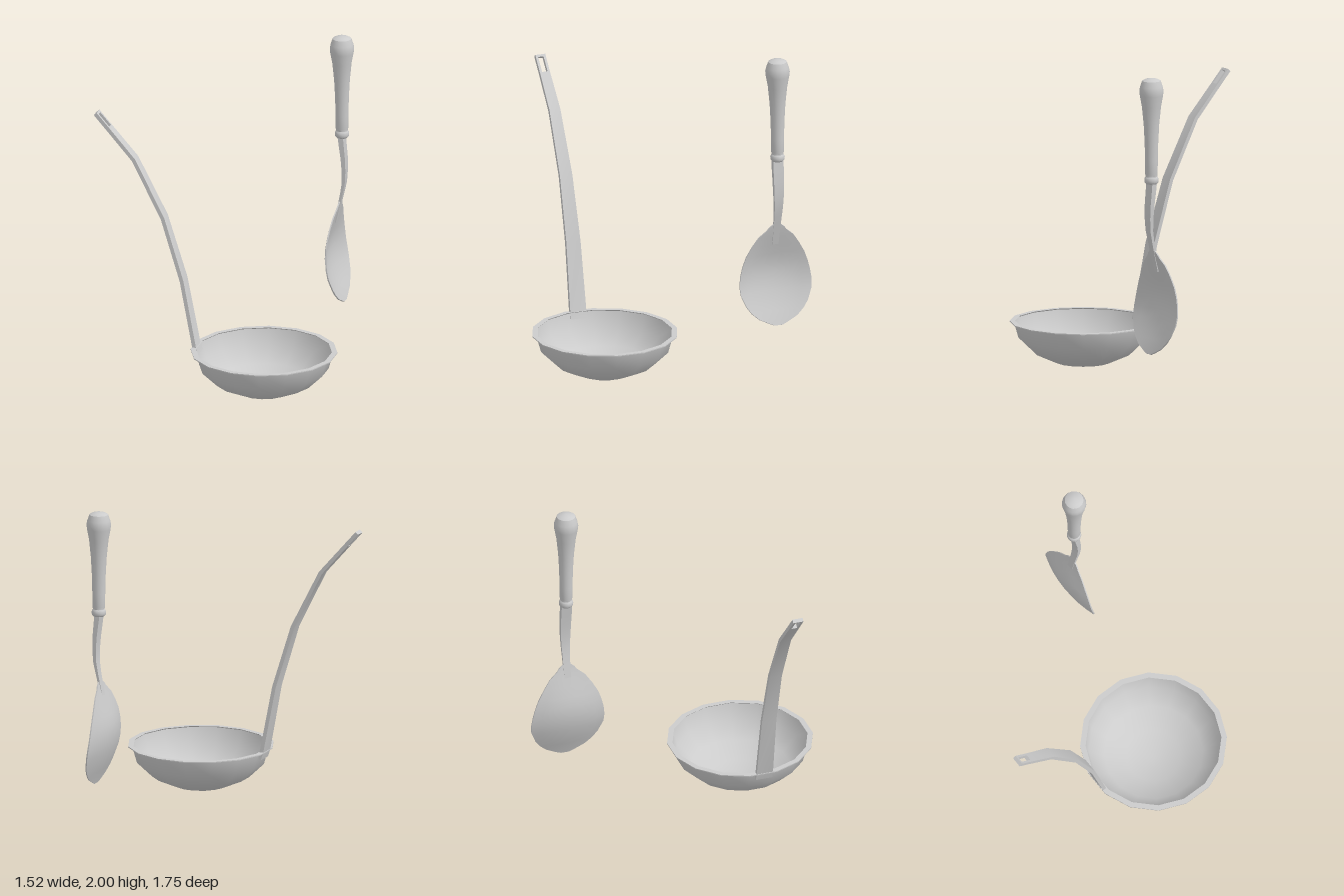
import * as THREE from 'three';
import { toCreasedNormals } from 'three/addons/utils/BufferGeometryUtils.js';

const material = new THREE.MeshStandardMaterial({ color: 0xcccccc, side: THREE.DoubleSide });

function addMesh(parent, name, geometry, crease = 0.65) {
  const mesh = new THREE.Mesh(toCreasedNormals(geometry, crease), material);
  mesh.name = name;
  parent.add(mesh);
  return mesh;
}

// Flat bar lofted along rows [x, y, halfWidth, halfThickness, edgeOffset];
// edgeOffset pushes the long edges along the bar's normal to dish it.
function barGeometry(rows, z0, cols = 2) {
  const pos = [], idx = [], ring = cols * 2;
  rows.forEach(([x, y, w, t, e = 0], i) => {
    const p = rows[Math.max(i - 1, 0)], q = rows[Math.min(i + 1, rows.length - 1)];
    const len = Math.hypot(q[0] - p[0], q[1] - p[1]);
    const nx = (q[1] - p[1]) / len, ny = (p[0] - q[0]) / len;
    for (let j = 0; j < ring; j++) {
      const front = j < cols;
      const u = (front ? j : ring - 1 - j) / (cols - 1) * 2 - 1;
      const off = front ? t : -t;
      pos.push(x + nx * off + e * u * u, y + ny * off, z0 + u * w);
    }
  });
  for (let i = 0; i < rows.length - 1; i++) {
    for (let j = 0; j < ring; j++) {
      const a = i * ring + j, b = i * ring + (j + 1) % ring;
      idx.push(a, a + ring, b, b, a + ring, b + ring);
    }
  }
  // End caps
  const top = (rows.length - 1) * ring;
  for (let j = 0; j < cols - 1; j++) {
    const k = ring - 1 - j;
    idx.push(j, j + 1, k, j + 1, k - 1, k);
    idx.push(top + j, top + k, top + j + 1, top + j + 1, top + k, top + k - 1);
  }
  const g = new THREE.BufferGeometry();
  g.setAttribute('position', new THREE.Float32BufferAttribute(pos, 3));
  g.setIndex(idx);
  return g;
}

function lathe(points, sides, phi = 0, scale = 1) {
  return new THREE.LatheGeometry(points.map(([r, y]) => new THREE.Vector2(r * scale, y)), sides, phi);
}

function createLadle() {
  const ladle = new THREE.Group();
  ladle.name = 'ladle';

  // Sixteen-sided bowl with a narrow flat lip
  const bowl = addMesh(ladle, 'ladleBowl', lathe(
    [[0, 0], [0.165, 0.028], [0.30, 0.09], [0.392, 0.18], [0.42, 0.283]],
    16, Math.PI / 16, 1 / Math.cos(Math.PI / 16)));
  const lip = addMesh(ladle, 'ladleLip', lathe(
    [[0.42, 0.278], [0.445, 0.28], [0.445, 0.286], [0.412, 0.286], [0.42, 0.278]],
    16, Math.PI / 16, 1 / Math.cos(Math.PI / 16)));
  for (const m of [bowl, lip]) m.position.set(0.315, 0, 0.427);

  // Bent, tapering handle up to the hanging slot
  const z = 0.437, t = 0.012;
  addMesh(ladle, 'ladleHandle', barGeometry([
    [-0.1, 0.24, 0.054, t], [-0.115, 0.285, 0.053, t], [-0.197, 0.71, 0.047, t],
    [-0.32, 1.105, 0.041, t], [-0.507, 1.47, 0.036, t], [-0.676, 1.662, 0.033, t]], z));

  // Slot rails and the end bar
  for (const s of [-1, 1]) {
    addMesh(ladle, 'slotRail', barGeometry(
      [[-0.676, 1.662, 0.0075, t], [-0.743, 1.738, 0.0075, t]], z + s * 0.0255));
  }
  addMesh(ladle, 'slotEnd', barGeometry([[-0.743, 1.738, 0.033, t], [-0.753, 1.75, 0.033, t]], z));
  return ladle;
}

function createServingSpoon() {
  const spoon = new THREE.Group();
  spoon.name = 'servingSpoon';
  const z = -0.637;

  // Turned grip with collar and domed end
  const grip = addMesh(spoon, 'spoonGrip', lathe([
    [0, 1.335], [0.034, 1.335], [0.043, 1.345], [0.045, 1.36], [0.042, 1.372], [0.036, 1.38],
    [0.039, 1.395], [0.04, 1.48], [0.043, 1.6], [0.049, 1.71], [0.06, 1.82], [0.073, 1.89],
    [0.076, 1.92], [0.071, 1.945], [0.058, 1.982], [0.04, 1.992], [0, 2]], 16));
  grip.position.set(0.52, 0, z);

  // Curved stem
  addMesh(spoon, 'spoonStem', barGeometry([
    [0.48, 0.78, 0.02, 0.006], [0.507, 0.9, 0.022, 0.007], [0.522, 0.97, 0.024, 0.008],
    [0.535, 1.04, 0.027, 0.01], [0.538, 1.12, 0.031, 0.012], [0.534, 1.2, 0.033, 0.014],
    [0.524, 1.29, 0.034, 0.016], [0.517, 1.35, 0.033, 0.017]], z));

  // Dished blade, bulging towards the right
  const b = 0.004;
  addMesh(spoon, 'spoonBlade', barGeometry([
    [0.541, 0.268, 0.025, b, 0], [0.536, 0.28, 0.055, b, 0.002], [0.522, 0.315, 0.125, b, 0.01],
    [0.504, 0.355, 0.17, b, 0.019], [0.484, 0.4, 0.203, b, 0.03], [0.458, 0.475, 0.234, b, 0.038],
    [0.445, 0.53, 0.238, b, 0.041], [0.438, 0.59, 0.23, b, 0.041], [0.441, 0.65, 0.215, b, 0.036],
    [0.454, 0.71, 0.193, b, 0.024], [0.473, 0.775, 0.156, b, 0.011], [0.49, 0.835, 0.115, b, 0.003],
    [0.503, 0.88, 0.062, b, 0], [0.507, 0.898, 0.05, b, 0], [0.511, 0.918, 0.025, b, 0]], z, 9));
  return spoon;
}

export function createModel() {
  const model = new THREE.Group();
  model.name = 'kitchenUtensils';
  model.add(createLadle(), createServingSpoon());
  return model;
}
